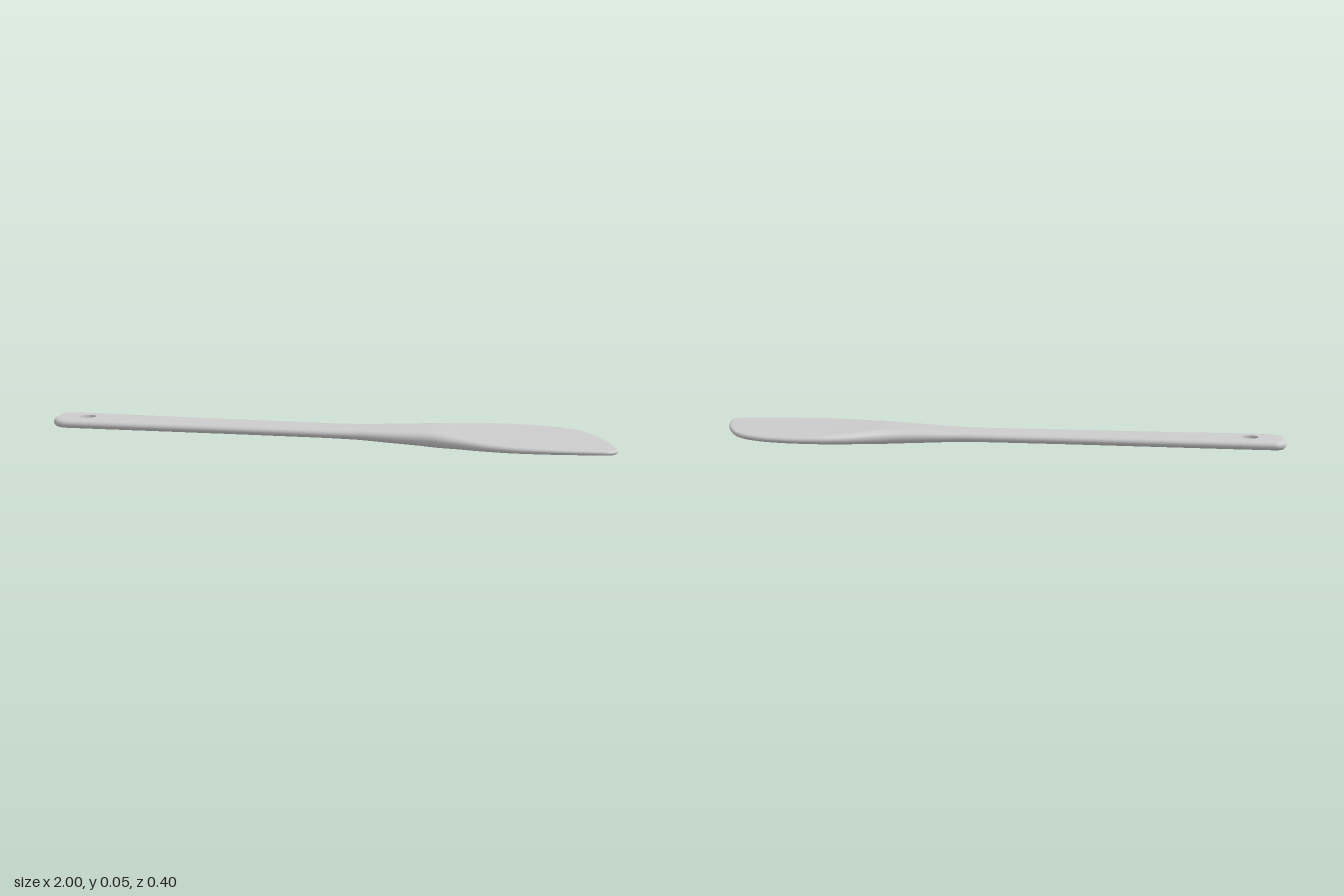
import * as THREE from 'three';
import { mergeVertices } from 'three/addons/utils/BufferGeometryUtils.js';

// Smooth interpolation through [x, value] pairs, without overshoot
function curve(pts) {
  const slope = (i) => (pts[i + 1][1] - pts[i][1]) / (pts[i + 1][0] - pts[i][0]);
  const tangent = pts.map((p, i) => {
    if (i === 0) return slope(0);
    if (i === pts.length - 1) return slope(i - 1);
    const a = slope(i - 1), b = slope(i);
    return a * b <= 0 ? 0 : (2 * a * b) / (a + b);
  });
  return (x) => {
    let i = 0;
    while (i < pts.length - 2 && x > pts[i + 1][0]) i++;
    const w = pts[i + 1][0] - pts[i][0], t = (x - pts[i][0]) / w, t2 = t * t, t3 = t2 * t;
    return (2 * t3 - 3 * t2 + 1) * pts[i][1] + (t3 - 2 * t2 + t) * w * tangent[i]
      + (3 * t2 - 2 * t3) * pts[i + 1][1] + (t3 - t2) * w * tangent[i + 1];
  };
}

// Quarter-circle inset at distance d from an end
const corner = (d, r) => (d >= r ? 0 : r - Math.sqrt(Math.max(0, r * r - (r - d) ** 2)));

// Plan outline and half thickness along the length
const backBase = curve([[-1, -0.08], [-0.9, -0.08], [-0.5, -0.073], [-0.2, -0.069], [0.1, -0.069], [0.2, -0.08],
  [0.33, -0.1], [0.4, -0.123], [0.5, -0.166], [0.58, -0.191], [0.68, -0.2], [0.77, -0.19], [0.85, -0.157],
  [0.9, -0.112], [0.95, -0.02], [0.98, 0.06], [1, 0.135]]);
const frontBase = curve([[-1, 0.08], [-0.9, 0.079], [-0.5, 0.071], [-0.2, 0.067], [0.1, 0.066], [0.2, 0.077],
  [0.33, 0.095], [0.45, 0.137], [0.58, 0.183], [0.68, 0.199], [0.75, 0.2], [0.85, 0.194], [1, 0.182]]);
const thickBase = curve([[-1, 0.016], [0, 0.016], [0.1, 0.0175], [0.33, 0.0245], [0.38, 0.025], [0.47, 0.02],
  [0.6, 0.014], [0.72, 0.0115], [1, 0.008]]);

const backEdge = (x) => backBase(x) + corner(x + 1, 0.04);
const frontEdge = (x) => frontBase(x) - corner(x + 1, 0.065) - corner(1 - x, 0.04);
const midLine = (x) => (backEdge(x) + frontEdge(x)) / 2;
const halfThick = (x) => {
  const d = Math.min(1, (x + 1) / 0.014, (1 - x) / 0.008);
  return thickBase(x) * Math.sqrt(Math.max(0, 1 - (1 - d) ** 2));
};

const HOLE_X = -0.88, HOLE_R = 0.029, MID_Y = 0.025;
const holeHalf = (x) => Math.sqrt(Math.max(0, HOLE_R ** 2 - (x - HOLE_X) ** 2));

// Stations along the length, denser at the ends and around the hole
function stations() {
  const xs = [];
  for (let k = 0; k < 14; k++) xs.push(-1 + 0.07 * (k / 14) ** 2);
  xs.push(-0.93);
  for (let k = 0; k <= 20; k++) xs.push(HOLE_X - HOLE_R * Math.cos((Math.PI * k) / 20));
  for (let k = 1; k <= 80; k++) xs.push(HOLE_X + HOLE_R + (0.94 - HOLE_X - HOLE_R) * (k / 80));
  for (let k = 15; k >= 0; k--) xs.push(1 - 0.06 * (k / 16) ** 2);
  return xs;
}

// Half section: from the centre over the top, round the edge, back underneath
function halfSection(x, side) {
  const edge = side > 0 ? frontEdge : backEdge;
  const h = halfThick(x), inner = midLine(x) + side * holeHalf(x), outer = edge(x);
  const e = 0.001, x0 = Math.max(-1, x - e), x1 = Math.min(1, x + e);
  const slope = Math.min(4, Math.abs(edge(x1) - edge(x0)) / (x1 - x0));
  const width = Math.abs(outer - inner);
  const round = Math.min(1.15 * thickBase(x) * Math.hypot(1, slope), width * 0.9);
  const flat = outer - side * round;
  const pts = [];
  for (let k = 0; k < 4; k++) pts.push([h, inner + (flat - inner) * (k / 4)]);
  for (let k = 0; k <= 12; k++) {
    const a = Math.PI / 2 - (Math.PI * k) / 12;
    pts.push([h * Math.sin(a), flat + side * round * Math.cos(a)]);
  }
  for (let k = 3; k >= 0; k--) pts.push([-h, inner + (flat - inner) * (k / 4)]);
  return pts.map(([y, z]) => [x, MID_Y + y, z]);
}

// Joins rows of points into a surface
function addRows(rows, side, pos, index) {
  const n = rows[0].length, start = pos.length / 3;
  rows.forEach((row) => row.forEach((p) => pos.push(...p)));
  for (let i = 0; i < rows.length - 1; i++) {
    for (let j = 0; j < n - 1; j++) {
      const a = start + i * n + j, b = a + 1, d = a + n, c = d + 1;
      if (side > 0) index.push(a, b, c, a, c, d);
      else index.push(a, c, b, a, d, c);
    }
  }
}

function surface(pos, index) {
  let g = new THREE.BufferGeometry();
  g.setAttribute('position', new THREE.Float32BufferAttribute(pos, 3));
  g.setIndex(index);
  g = mergeVertices(g, 1e-5);
  g.computeVertexNormals();
  return g;
}

export function createModel() {
  const group = new THREE.Group();
  group.name = 'spatula';
  const material = new THREE.MeshStandardMaterial({ color: 0xcccccc });
  const xs = stations();
  const body = { pos: [], index: [] }, hole = { pos: [], index: [] };

  for (const side of [1, -1]) {
    const rows = xs.map((x) => halfSection(x, side));
    addRows(rows, side, body.pos, body.index);
    // Wall of the hanging hole, from the bottom inner edge to the top one
    const wall = rows.filter((r) => Math.abs(r[0][0] - HOLE_X) <= HOLE_R + 1e-6)
      .map((r) => [r[r.length - 1], r[0]]);
    addRows(wall, side, hole.pos, hole.index);
  }

  const parts = { handleAndBlade: body, hangingHole: hole };
  for (const [name, { pos, index }] of Object.entries(parts)) {
    const mesh = new THREE.Mesh(surface(pos, index), material);
    mesh.name = name;
    group.add(mesh);
  }
  return group;
}
